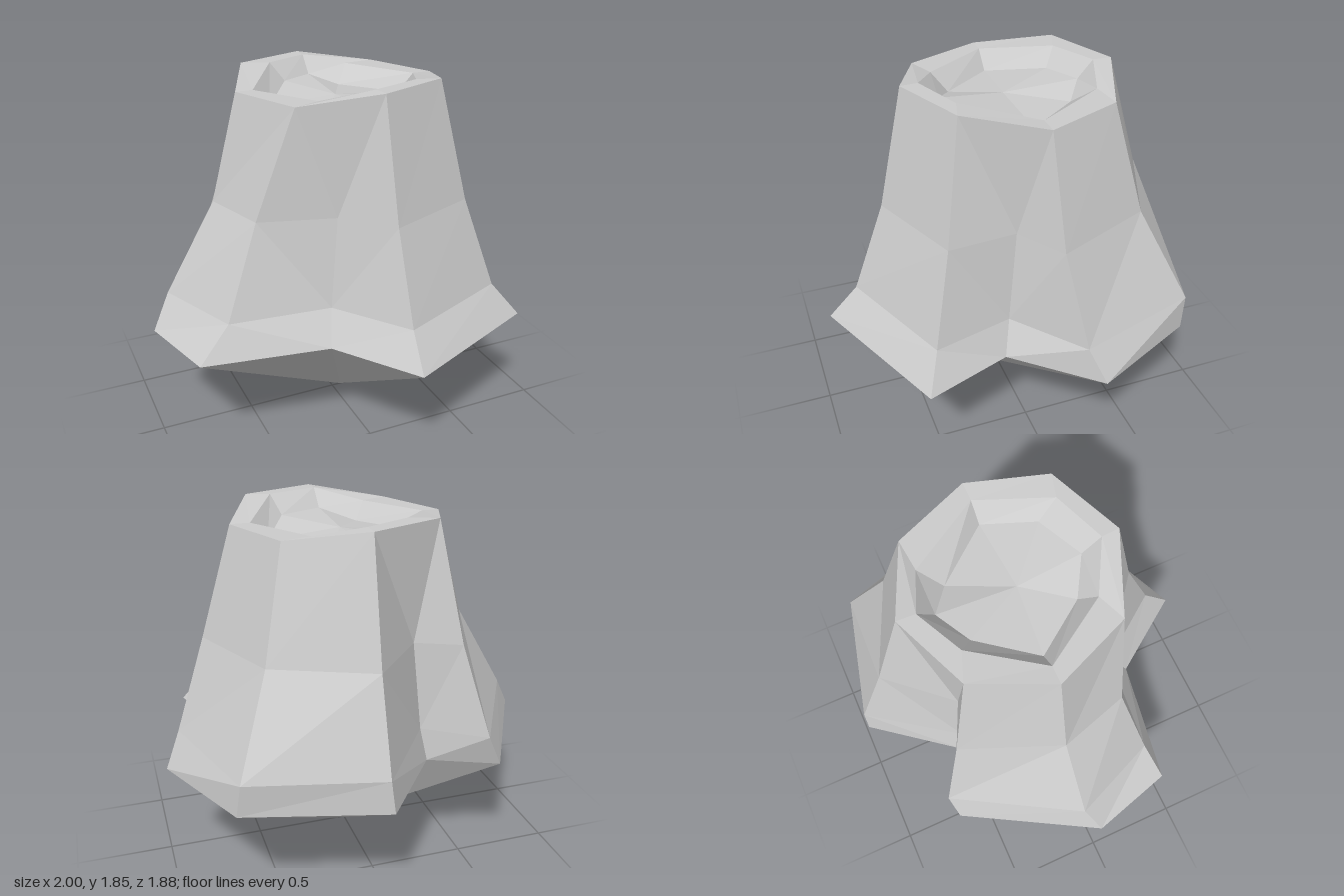
import * as THREE from 'three';

// Heights of the three lower levels of the trunk
const LEVELS = [0.61, 0.78, 1.24];

// Columns round the trunk: x,z at each level, and the rim corner each one ends in.
// Notch columns lie between the root flares and share a neighbour's rim corner.
const COLUMNS = [
  { p: [0.05, 0.94, 0.07, 0.79, 0.065, 0.62], rim: 0 },
  { p: [0.81, 0.61, 0.68, 0.535, 0.55, 0.425], rim: 1 },
  { p: [0.66, 0.18, 0.58, 0.135, 0.525, 0.08], rim: 2, notch: true },
  { p: [1.0, -0.21, 0.92, -0.14, 0.757, -0.07], rim: 2 },
  { p: [0.75, -0.75, 0.73, -0.77, 0.55, -0.56], rim: 3 },
  { p: [0.05, -0.945, 0.07, -0.935, 0.065, -0.77], rim: 4 },
  { p: [-0.28, -0.52, -0.25, -0.49, -0.21, -0.46], rim: 5, notch: true },
  { p: [-0.62, -0.67, -0.54, -0.69, -0.43, -0.56], rim: 5 },
  { p: [-1.0, 0.0, -0.9, -0.065, -0.63, -0.07], rim: 6 },
  { p: [-0.88, 0.43, -0.715, 0.38, -0.525, 0.283], rim: 7 },
  { p: [-0.24, 0.53, -0.195, 0.43, -0.145, 0.39], rim: 7, notch: true },
];

// Octagonal rim heights, and x,z of the hollow's lip and floor
const RIM_Y = [1.85, 1.85, 1.79, 1.79, 1.84, 1.84, 1.79, 1.79];
const LIP = [[0.045, 0.395], [0.31, 0.295], [0.49, -0.055], [0.265, -0.42],
  [0.045, -0.5], [-0.19, -0.385], [-0.4, -0.055], [-0.19, 0.27]];
const FLOOR = [[0.045, 0.3], [0.275, 0.19], [0.405, -0.055], [0.18, -0.325],
  [0.045, -0.42], [-0.13, -0.325], [-0.315, -0.055], [-0.13, 0.2]];

const rim = RIM_Y.map((y, i) => {
  const a = (i * Math.PI) / 4;
  return [0.05 + 0.54 * Math.sin(a), y, -0.055 + 0.54 * Math.cos(a)];
});
const lip = LIP.map(([x, z], i) => [x, RIM_Y[i], z]);
const floor = FLOOR.map(([x, z], i) => [x, RIM_Y[i] - 0.09, z]);
const ringAt = (k) => COLUMNS.map(({ p }) => [p[2 * k], LEVELS[k], p[2 * k + 1]]);

// Joins two rings with quads; the split starts low at a notch and ends high on a flare
function band(lower, upper, notched = () => false) {
  const tris = [];
  lower.forEach((a, i) => {
    const j = (i + 1) % lower.length;
    const b = lower[j], c = upper[j], d = upper[i];
    if (notched(j)) tris.push(a, b, d, b, c, d);
    else tris.push(a, b, c, a, c, d);
  });
  return tris;
}

// Closes a ring to one point
function fan(ring, tip, up) {
  return ring.flatMap((a, i) => {
    const b = ring[(i + 1) % ring.length];
    return up ? [a, b, tip] : [b, a, tip];
  });
}

function part(name, corners, material) {
  const g = new THREE.BufferGeometry();
  g.setAttribute('position', new THREE.Float32BufferAttribute(corners.flat(), 3));
  g.computeVertexNormals();
  const mesh = new THREE.Mesh(g, material);
  mesh.name = name;
  return mesh;
}

export function createModel() {
  const group = new THREE.Group();
  group.name = 'stump';
  const material = new THREE.MeshStandardMaterial({ color: 0xcccccc, flatShading: true });

  // Flared sides, from the widest ring up to the rim
  const rings = [0, 1, 2].map(ringAt);
  rings.push(COLUMNS.map((c) => rim[c.rim]));
  const isNotch = (i) => !!COLUMNS[i].notch;
  const sides = [0, 1, 2].flatMap((k) => band(rings[k], rings[k + 1], isNotch));
  group.add(part('trunkSides', sides, material));

  // Pointed underside
  group.add(part('underside', fan(rings[0], [0.05, 0, 0], false), material));

  // Rim, sloping hollow wall and hollow floor
  group.add(part('rim', band(rim, lip), material));
  group.add(part('hollowWall', band(lip, floor), material));
  group.add(part('hollowFloor', fan(floor, [0.03, 1.73, -0.03], true), material));

  return group;
}
